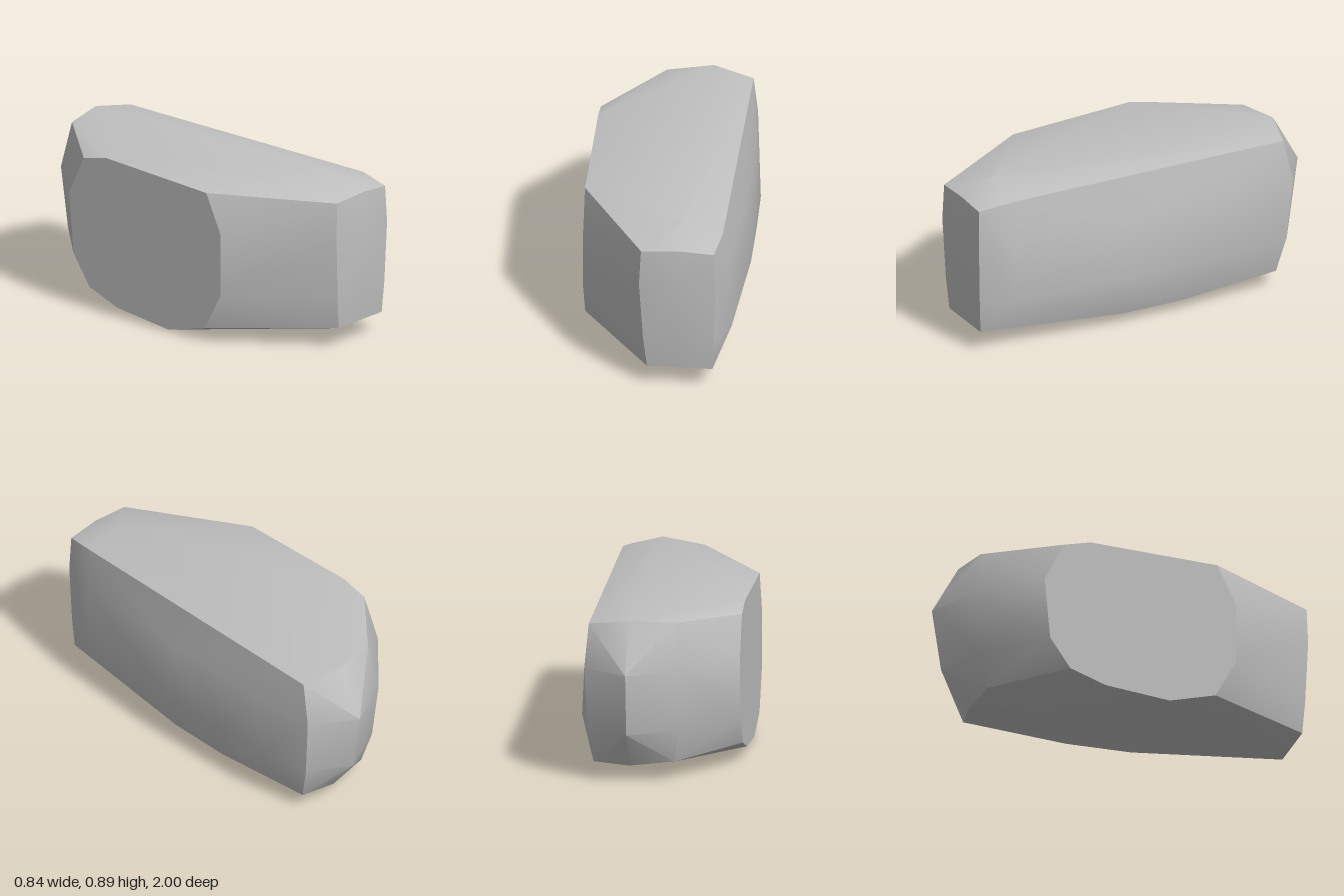
import * as THREE from 'three';
import { toCreasedNormals } from 'three/addons/utils/BufferGeometryUtils.js';
import { ConvexGeometry } from 'three/addons/geometries/ConvexGeometry.js';

// Level outlines at a fixed height: [x, z] pairs
const waist = {
  0.61: [[-0.42, 0.48], [-0.08, 0.98], [0.13, 1], [0.32, 0.98], [0.365, 0.8], [0.387, 0.13],
    [0.387, -0.5], [0.36, -0.85], [0.13, -1], [-0.14, -0.86], [-0.42, -0.56]],
  0.28: [[-0.42, 0.48], [-0.06, 0.97], [0.13, 0.985], [0.31, 0.97], [0.385, 0.8], [0.42, 0.13],
    [0.415, -0.25], [0.405, -0.54], [0.345, -0.82], [0.13, -0.95], [-0.13, -0.82], [-0.42, -0.53]],
};

// Gently domed top: [x, y, z]
const crown = [
  [-0.42, 0.82, 0.38], [-0.07, 0.805, 0.975], [0.13, 0.818, 0.98], [0.31, 0.803, 0.975],
  [0.13, 0.89, 0.8], [0.34, 0.832, 0.8], [0.342, 0.835, -0.8],
  [0.13, 0.87, -0.855], [-0.11, 0.855, -0.81], [-0.42, 0.82, -0.46], [-0.42, 0.855, -0.31],
];

// Shallow keel-like underside: [x, y, z]
const base = [
  [-0.42, 0.075, 0.37], [-0.04, 0.11, 0.96], [0.3, 0.11, 0.96], [0.13, 0.08, 0.8],
  [0.13, 0.04, 0.45], [0.13, 0, 0.13], [0.13, 0.005, -0.2], [0.13, 0.04, -0.53], [0.13, 0.08, -0.8],
  [-0.22, 0, 0.13], [-0.42, 0.01, 0.12], [-0.42, 0.05, -0.23], [-0.42, 0.12, -0.42],
  [0.35, 0.06, 0.15], [0.35, 0.06, -0.2], [0.32, 0.09, -0.77], [-0.1, 0.1, -0.77],
];

export function createModel() {
  const group = new THREE.Group();
  group.name = 'rock';
  const stone = new THREE.MeshStandardMaterial({ color: 0xc0c0c0 });
  stone.name = 'stone grey';

  const points = [...crown, ...base].map((p) => new THREE.Vector3(...p));
  for (const [y, ring] of Object.entries(waist)) {
    for (const [x, z] of ring) points.push(new THREE.Vector3(x, Number(y), z));
  }

  // Convex stone with soft facets and sharp main edges
  const boulder = new THREE.Mesh(toCreasedNormals(new ConvexGeometry(points), 0.52), stone);
  boulder.name = 'boulder';
  group.add(boulder);
  return group;
}
